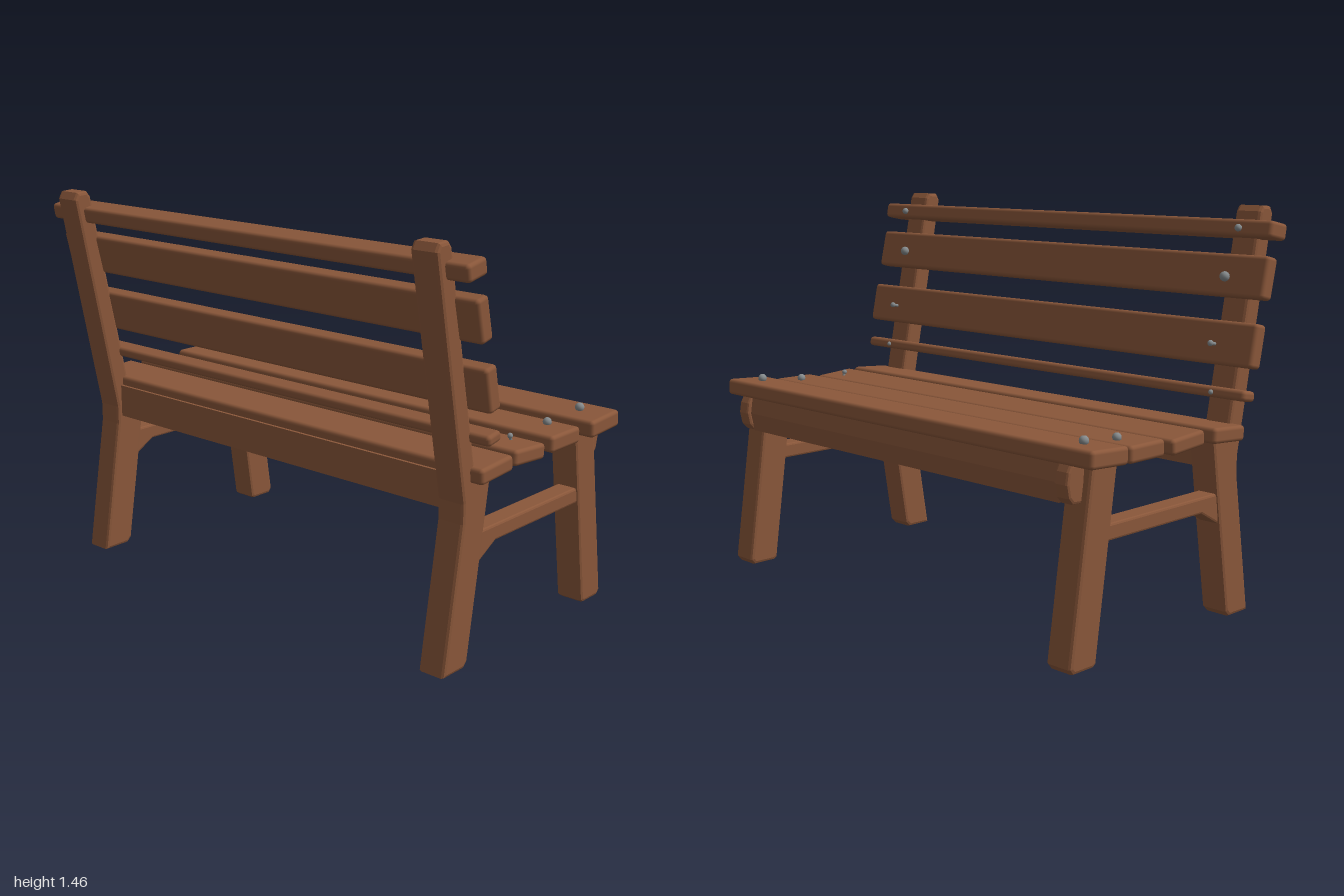
import * as THREE from 'three';
import { RoundedBoxGeometry } from 'three/addons/geometries/RoundedBoxGeometry.js';

export function createModel() {
  const bench = new THREE.Group();
  bench.name = 'gardenBench';
  const wood = new THREE.MeshStandardMaterial({ color: 0x8a573a });
  wood.name = 'brown wood';
  const steel = new THREE.MeshStandardMaterial({ color: 0x858a8c });
  steel.name = 'grey steel';

  const add = (name, geometry, material = wood) => {
    const mesh = new THREE.Mesh(geometry, material);
    mesh.name = name;
    bench.add(mesh);
    return mesh;
  };

  // Side outline extruded along z, with softened edges
  const plank = (name, points, z0, z1, bevel = 0.012) => {
    const shape = new THREE.Shape(points.map(([x, y]) => new THREE.Vector2(x, y)));
    const geometry = new THREE.ExtrudeGeometry(shape, {
      depth: z1 - z0 - 2 * bevel, bevelEnabled: true, bevelThickness: bevel,
      bevelSize: bevel, bevelOffset: -bevel, bevelSegments: 2,
    });
    geometry.translate(0, 0, z0 + bevel);
    return add(name, geometry);
  };

  // Lengthwise slats: name, x, y, width, height, length, tilt in degrees
  const slats = [
    ['backSlatTop', -0.43, 1.377, 0.098, 0.06, 2.0, 11],
    ['backSlatUpper', -0.385, 1.216, 0.06, 0.15, 2.0, 13],
    ['backSlatLower', -0.331, 0.986, 0.06, 0.155, 2.0, 12],
    ['backSlatBottom', -0.301, 0.816, 0.07, 0.038, 1.98, 10],
    ['seatSlatRear', -0.237, 0.688, 0.175, 0.056, 1.92, 4],
    ['seatSlatInner', -0.029, 0.688, 0.175, 0.056, 1.89, -4],
    ['seatSlatOuter', 0.187, 0.691, 0.177, 0.06, 1.89, 0],
    ['seatSlatFront', 0.402, 0.706, 0.18, 0.062, 1.94, 3],
  ];
  for (const [name, x, y, w, h, length, tilt] of slats) {
    const slat = add(name, new RoundedBoxGeometry(w, h, length, 2, 0.014));
    slat.position.set(x, y, 0);
    slat.rotation.z = THREE.MathUtils.degToRad(tilt);
  }

  // End frames
  for (const side of [-1, 1]) {
    const end = side > 0 ? 'Left' : 'Right';
    const span = (a, b) => (side > 0 ? [a, b] : [-b, -a]);

    plank('rearPost' + end, [
      [-0.44, 0.005], [-0.33, 0.005], [-0.31, 0.025], [-0.255, 0.36], [-0.205, 0.675],
      [-0.295, 0.69], [-0.445, 1.44], [-0.46, 1.46], [-0.505, 1.457], [-0.52, 1.43],
      [-0.355, 0.59], [-0.355, 0.52],
    ], ...span(0.805, 0.912));

    plank('frontLeg' + end, [
      [0.39, 0.015], [0.405, 0.005], [0.5, 0.005], [0.516, 0.025],
      [0.42, 0.685], [0.295, 0.69],
    ], ...span(0.805, 0.912));

    // Rail with its corner brace
    plank('sideRail' + end, [
      [-0.26, 0.36], [-0.25, 0.362], [-0.16, 0.412], [0.35, 0.412], [0.35, 0.47], [-0.25, 0.47],
    ], ...span(0.825, 0.905), 0.008);

    plank('apronEnd' + end, [
      [0.42, 0.55], [0.475, 0.553], [0.495, 0.575], [0.505, 0.62], [0.498, 0.66],
      [0.485, 0.685], [0.42, 0.685],
    ], ...span(0.82, 0.88), 0.01);
  }

  // Aprons under the seat
  plank('frontApron', [[0.405, 0.55], [0.475, 0.55], [0.49, 0.62], [0.48, 0.685], [0.4, 0.685]],
    -0.83, 0.83);
  plank('rearApron', [[-0.335, 0.55], [-0.265, 0.55], [-0.255, 0.675], [-0.335, 0.675]],
    -0.83, 0.83);

  // Bolts: head x, head y, distance along z, head radius, axis angle, shaft length
  const bolts = [
    [-0.376, 1.385, 0.867, 0.013, 11, 0.05],
    [-0.345, 1.217, 0.838, 0.018, 13, 0.05],
    [-0.274, 0.99, 0.838, 0.011, 12, 0.06],
    [-0.263, 0.821, 0.853, 0.009, 10, 0.05],
    [-0.003, 0.729, 0.84, 0.01, 105, 0.08],
    [0.222, 0.729, 0.84, 0.016, 105, 0.084],
    [0.403, 0.747, 0.857, 0.017, 93, 0.06],
  ];
  for (const [x, y, z, r, angle, length] of bolts) {
    for (const side of [-1, 1]) {
      if (x === -0.003 && side < 0) continue;
      const a = THREE.MathUtils.degToRad(angle);
      const head = add('boltHead', new THREE.SphereGeometry(r, 12, 8), steel);
      head.position.set(x, y, side * z);
      const shaft = add('boltShaft', new THREE.CylinderGeometry(r * 0.55, r * 0.55, length, 8), steel);
      shaft.position.set(x - Math.cos(a) * length / 2, y - Math.sin(a) * length / 2, side * z);
      shaft.rotation.z = a - Math.PI / 2;
    }
  }
  return bench;
}
